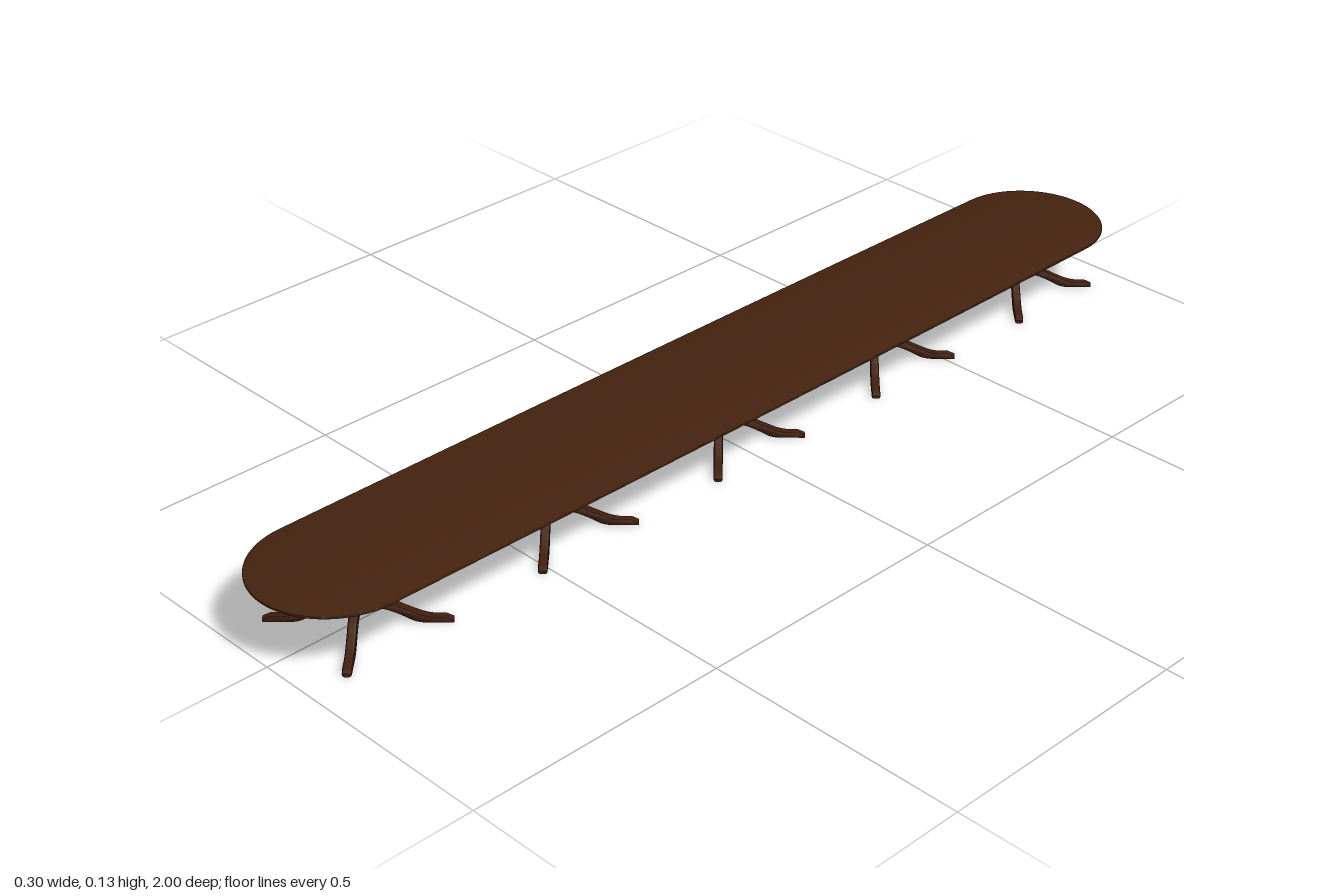
import * as THREE from 'three';
import { toCreasedNormals } from 'three/addons/utils/BufferGeometryUtils.js';

const topWood = new THREE.MeshStandardMaterial({ color: 0x45230f });
topWood.name = 'table top wood';
const baseWood = new THREE.MeshStandardMaterial({ color: 0x411e0e });
baseWood.name = 'pedestal wood';
const darkWood = new THREE.MeshStandardMaterial({ color: 0x2c0d09 });
darkWood.name = 'dark underside wood';

function add(parent, name, geometry, material) {
  const mesh = new THREE.Mesh(geometry, material);
  mesh.name = name;
  parent.add(mesh);
  return mesh;
}

// Long outline with round ends and very slightly bowed sides
function roundEnded(halfWidth, halfLength, bow) {
  const w = halfWidth - bow, straight = halfLength - w;
  const s = new THREE.Shape();
  s.moveTo(w, -straight);
  s.quadraticCurveTo(w + bow * 2, 0, w, straight);
  s.absarc(0, straight, w, 0, Math.PI, false);
  s.quadraticCurveTo(-w - bow * 2, 0, -w, -straight);
  s.absarc(0, -straight, w, Math.PI, Math.PI * 2, false);
  return s;
}

// Flat horizontal slab from y = bottom upwards
function slab(shape, bottom, height, bevel) {
  const g = new THREE.ExtrudeGeometry(shape, {
    depth: height - 2 * bevel, curveSegments: 32, bevelEnabled: bevel > 0,
    bevelThickness: bevel, bevelSize: bevel, bevelOffset: -bevel, bevelSegments: 3,
  });
  g.rotateX(-Math.PI / 2);
  g.translate(0, bottom + bevel, 0);
  return toCreasedNormals(g, 0.7);
}

// Turned column: radius, height
const columnProfile = [
  [0, 0.054], [0.021, 0.054], [0.021, 0.057], [0.017, 0.059], [0.0135, 0.062],
  [0.0135, 0.064], [0.0165, 0.067], [0.0175, 0.070], [0.0165, 0.073],
  [0.0130, 0.076], [0.0130, 0.078], [0.0160, 0.081], [0.0180, 0.085],
  [0.0175, 0.089], [0.0150, 0.092], [0.0115, 0.093], [0.0115, 0.096],
  [0.0190, 0.097], [0.0200, 0.101], [0.0225, 0.103], [0.0225, 0.106],
  [0.0245, 0.108], [0.0245, 0.112], [0.0225, 0.114], [0.0225, 0.120], [0, 0.120],
].map(([r, y]) => new THREE.Vector2(r, y));

// Side outline of a sweeping leg: distance from the column axis, height
function legGeometry() {
  const s = new THREE.Shape();
  s.moveTo(0.015, 0.044);
  s.splineThru([[0.035, 0.044], [0.055, 0.039], [0.080, 0.027], [0.105, 0.016], [0.122, 0.012]]
    .map(p => new THREE.Vector2(...p)));
  s.lineTo(0.142, 0.012);
  s.lineTo(0.155, 0.006);
  s.lineTo(0.155, 0);
  s.lineTo(0.106, 0);
  s.splineThru([[0.090, 0.004], [0.070, 0.015], [0.050, 0.024], [0.032, 0.028], [0.015, 0.028]]
    .map(p => new THREE.Vector2(...p)));
  const g = new THREE.ExtrudeGeometry(s, {
    depth: 0.008, curveSegments: 14, bevelThickness: 0.004,
    bevelSize: 0.003, bevelOffset: -0.003, bevelSegments: 2,
  });
  g.translate(0, 0, -0.004);
  return toCreasedNormals(g, 0.6);
}

export function createModel() {
  const model = new THREE.Group();
  model.name = 'longTable';

  // Top, with a darker inlay beneath it
  add(model, 'tableTop', slab(roundEnded(0.149, 1, 0.003), 0.1212, 0.0045, 0.001), topWood);
  add(model, 'underside inlay', slab(roundEnded(0.075, 0.54, 0.003), 0.1207, 0.0008, 0), darkWood);

  // Shared pedestal parts
  const column = toCreasedNormals(new THREE.LatheGeometry(columnProfile, 24), 0.7);
  const hub = toCreasedNormals(new THREE.CylinderGeometry(0.0235, 0.0235, 0.024, 8), 0.3);
  const hubBand = toCreasedNormals(new THREE.CylinderGeometry(0.021, 0.0235, 0.003, 8), 0.3);
  const hubFoot = toCreasedNormals(new THREE.CylinderGeometry(0.0235, 0.019, 0.003, 8), 0.3);
  const plate = toCreasedNormals(new THREE.CylinderGeometry(0.046, 0.044, 0.003, 32), 0.7);
  const leg = legGeometry();

  // Five pedestals in a row
  for (let i = -2; i <= 2; i++) {
    const pedestal = new THREE.Group();
    pedestal.name = 'pedestal' + (i + 3);
    pedestal.position.z = i * 0.409;
    add(pedestal, 'mountingPlate', plate, baseWood).position.y = 0.1202;
    add(pedestal, 'turnedColumn', column, baseWood);
    for (const [name, geo, y] of [['hub', hub, 0.041], ['hubBand', hubBand, 0.0545], ['hubFoot', hubFoot, 0.0275]]) {
      const part = add(pedestal, name, geo, baseWood);
      part.position.y = y;
      part.rotation.y = Math.PI / 8;
    }
    // Four legs set on the diagonals
    for (let k = 0; k < 4; k++) {
      add(pedestal, 'leg' + (k + 1), leg, baseWood).rotation.y = Math.PI / 4 + k * Math.PI / 2;
    }
    model.add(pedestal);
  }
  return model;
}
